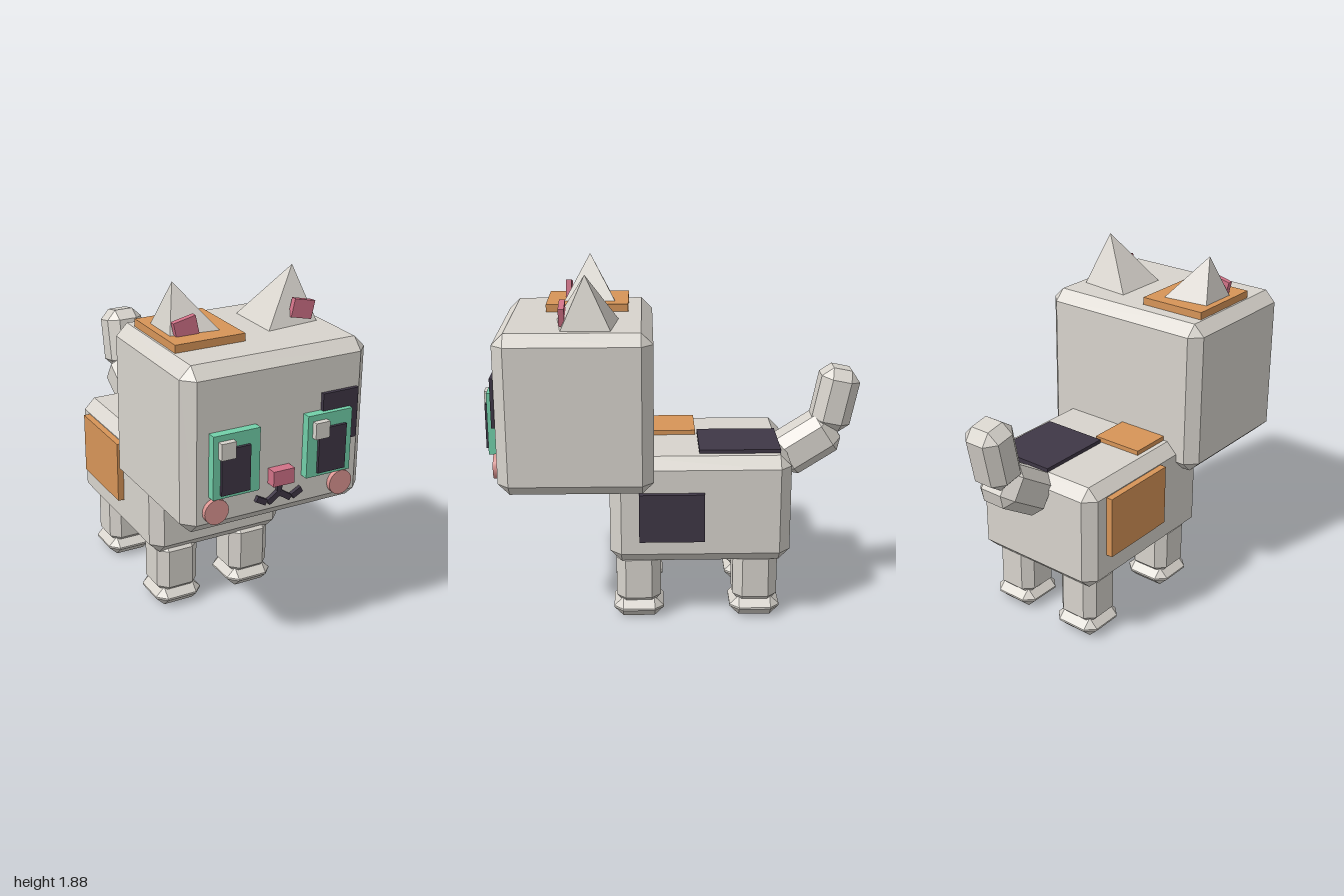
import * as THREE from 'three';
import { ConvexGeometry } from 'three/addons/geometries/ConvexGeometry.js';

const material = (name, color) => {
  const m = new THREE.MeshStandardMaterial({ color });
  m.name = name;
  return m;
};

// Box with flat chamfers on every edge, centred on the origin
function chamferBox(w, h, d, bevel) {
  const points = [];
  for (const sx of [-1, 1]) for (const sy of [-1, 1]) for (const sz of [-1, 1]) {
    for (let axis = 0; axis < 3; axis++) {
      const inset = [0, 1, 2].map((i) => (i === axis ? 0 : bevel));
      points.push(new THREE.Vector3(
        sx * (w / 2 - inset[0]), sy * (h / 2 - inset[1]), sz * (d / 2 - inset[2])));
    }
  }
  return new ConvexGeometry(points);
}

export function createModel() {
  const fur = material('grey fur', 0xd8d4cd);
  const dark = material('dark', 0x3f3746);
  const orange = material('orange patch', 0xd79558);
  const green = material('green iris', 0x72d0aa);
  const pink = material('pink', 0xd27288);
  const blush = material('blush', 0xdd9693);

  const model = new THREE.Group();
  model.name = 'cat';

  const add = (name, geometry, mat, x = 0, y = 0, z = 0, parent = model) => {
    const mesh = new THREE.Mesh(geometry, mat);
    mesh.name = name;
    mesh.position.set(x, y, z);
    parent.add(mesh);
    return mesh;
  };
  // Plain box given by its limits on each axis
  const slab = (name, mat, [x0, x1], [y0, y1], [z0, z1], parent = model) =>
    add(name, new THREE.BoxGeometry(x1 - x0, y1 - y0, z1 - z0), mat,
      (x0 + x1) / 2, (y0 + y1) / 2, (z0 + z1) / 2, parent);

  // Body and its coat patches
  add('body', chamferBox(0.79, 0.59, 0.96, 0.06), fur, 0, 0.635, -0.125);
  slab('darkBackPatch', dark, [-0.065, 0.3], [0.91, 0.95], [-0.55, -0.12]);
  slab('orangeBackPatch', orange, [-0.31, -0.025], [0.91, 0.955], [-0.11, 0.17]);
  slab('leftSidePatch', dark, [0.38, 0.425], [0.48, 0.745], [-0.145, 0.2]);
  slab('rightSidePatch', orange, [-0.43, -0.38], [0.525, 0.865], [-0.475, -0.02]);

  // Legs and paws
  for (const [sideName, x] of [['left', 0.222], ['right', -0.222]]) {
    for (const [endName, z] of [['Front', 0.205], ['Back', -0.425]]) {
      const leg = new THREE.Group();
      leg.name = sideName + endName + 'Leg';
      leg.position.set(x, 0, z);
      model.add(leg);
      add('shin', chamferBox(0.24, 0.32, 0.24, 0.05), fur, 0, 0.23, 0, leg);
      add('paw', chamferBox(0.27, 0.11, 0.27, 0.05), fur, 0, 0.055, 0, leg);
    }
  }

  // Tail, leaning backwards in two segments
  add('tailBase', chamferBox(0.24, 0.357, 0.235, 0.055), fur, 0, 0.896, -0.716)
    .rotation.x = -0.997;
  add('tailTip', chamferBox(0.22, 0.35, 0.212, 0.055), fur, 0, 1.145, -0.868)
    .rotation.x = -0.2;

  // Head and its coat patches
  const head = new THREE.Group();
  head.name = 'head';
  model.add(head);
  add('skull', chamferBox(1.01, 0.85, 0.805, 0.06), fur, 0, 1.19, 0.5225, head);
  slab('crownPatch', orange, [-0.435, -0.06], [1.6, 1.655], [0.25, 0.69], head);
  slab('eyePatch', dark, [0.23, 0.43], [1.12, 1.38], [0.91, 0.945], head);

  for (const [sideName, s] of [['left', 1], ['right', -1]]) {
    // Ears: leaning four-sided spikes with a pink inner plate
    const corners = [[0.335, 1.885, 0.46], [0.11, 1.61, 0.295], [0.41, 1.61, 0.33],
      [0.412, 1.61, 0.587], [0.11, 1.61, 0.622]];
    add(sideName + 'Ear',
      new ConvexGeometry(corners.map(([x, y, z]) => new THREE.Vector3(s * x, y, z))),
      fur, 0, 0, 0, head);
    add(sideName + 'InnerEar', new THREE.BoxGeometry(0.12, 0.095, 0.03), pink,
      s * 0.325, 1.69, 0.578, head).rotation.z = -s * 0.22;

    // Eyes: both highlights sit on the same side
    const eye = new THREE.Group();
    eye.name = sideName + 'Eye';
    eye.position.set(s * 0.257, 1.128, 0);
    head.add(eye);
    slab('iris', green, [-0.125, 0.125], [-0.163, 0.163], [0.91, 0.97], eye);
    add('pupil', new THREE.BoxGeometry(0.155, 0.235, 0.03), dark,
      s * 0.01, -0.025, 0.97, eye);
    slab('highlight', fur, [-0.098, -0.02], [0.047, 0.132], [0.96, 1], eye);

    // Cheeks
    add(sideName + 'Cheek', new THREE.CylinderGeometry(0.065, 0.065, 0.04, 20), blush,
      s * 0.35, 0.888, 0.93, head).rotation.x = Math.PI / 2;

    // Curled mouth, two strokes on each side
    add(sideName + 'InnerMouth', new THREE.BoxGeometry(0.075, 0.03, 0.035), dark,
      s * 0.032, 0.888, 0.928, head).rotation.z = -s * 0.6;
    add(sideName + 'OuterMouth', new THREE.BoxGeometry(0.06, 0.03, 0.035), dark,
      s * 0.1, 0.886, 0.928, head).rotation.z = s * 0.5;
  }

  // Nose and the line below it
  slab('nose', pink, [-0.058, 0.058], [0.965, 1.045], [0.91, 0.98], head);
  slab('mouthLine', dark, [-0.013, 0.013], [0.895, 0.97], [0.91, 0.945], head);

  return model;
}
